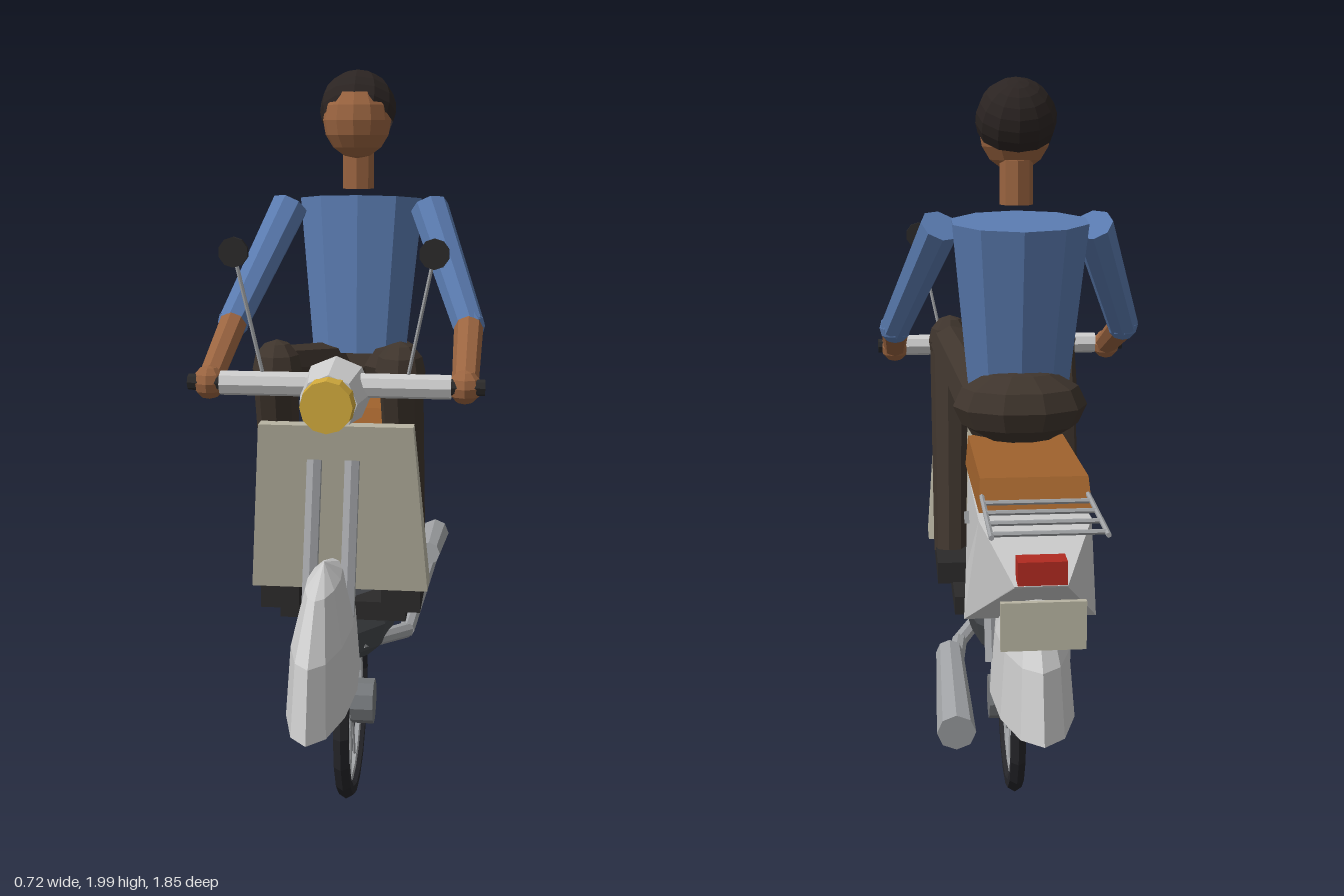
import * as THREE from 'three';

const mat = (color, side = THREE.FrontSide) =>
  new THREE.MeshStandardMaterial({ color, flatShading: true, side });
const M = {
  grey: mat(0xcccccc), shell: mat(0xcccccc, THREE.DoubleSide), beige: mat(0xb8b4a2),
  metal: mat(0xa0a2a5), hub: mat(0x74777a), engine: mat(0x45484c), tyre: mat(0x26262a),
  dark: mat(0x2b2a2a), seat: mat(0xa0622d), gold: mat(0xd0a93c), red: mat(0xb02a20),
  shirt: mat(0x5a7bb0), skin: mat(0x9a6440), trousers: mat(0x3f352d), hair: mat(0x2b2422),
};
const V = (x, y, z) => new THREE.Vector3(x, y, z);

export function createModel() {
  const root = new THREE.Group();

  const add = (name, geo, material, pos = [0, 0, 0], parent = root) => {
    const mesh = new THREE.Mesh(geo, material);
    mesh.name = name;
    mesh.position.set(...pos);
    parent.add(mesh);
    return mesh;
  };
  const box = (name, size, pos, m) => add(name, new THREE.BoxGeometry(...size), m, pos);
  const ball = (name, radii, pos, m, ws = 10, hs = 8) =>
    add(name, new THREE.SphereGeometry(1, ws, hs).scale(...radii), m, pos);

  // Tapered rod between two points
  const rod = (name, a, b, ra, rb, m, sides = 8, parent = root) => {
    const p = V(...a), q = V(...b), d = q.clone().sub(p);
    const mesh = add(name, new THREE.CylinderGeometry(rb, ra, d.length(), sides), m,
      p.clone().add(q).multiplyScalar(0.5).toArray(), parent);
    mesh.quaternion.setFromUnitVectors(V(0, 1, 0), d.normalize());
    return mesh;
  };

  // Solid through four-cornered sections, front to rear.
  // Section: [bottom half width, y, z, top half width, y, z]
  const loft = (name, sections, m) => {
    const rings = sections.map(([wb, yb, zb, wt, yt, zt]) =>
      [[-wb, yb, zb], [wb, yb, zb], [wt, yt, zt], [-wt, yt, zt]]);
    const out = [];
    const quad = (a, b, c, d) => out.push(...a, ...b, ...c, ...a, ...c, ...d);
    for (let i = 0; i < rings.length - 1; i++) {
      const A = rings[i], B = rings[i + 1];
      for (let k = 0; k < 4; k++) quad(A[k], B[k], B[(k + 1) % 4], A[(k + 1) % 4]);
    }
    quad(...rings[0]);
    quad(...rings[rings.length - 1].slice().reverse());
    const geo = new THREE.BufferGeometry();
    geo.setAttribute('position', new THREE.Float32BufferAttribute(out, 3));
    geo.computeVertexNormals();
    return add(name, geo, m);
  };

  // Spoked wheel
  const wheel = new THREE.Group();
  wheel.name = 'wheel';
  wheel.position.set(0, 0.28, 0.04);
  root.add(wheel);
  add('tyre', new THREE.TorusGeometry(0.247, 0.023, 6, 18).rotateY(Math.PI / 2), M.tyre, [0, 0, 0], wheel);
  add('rim', new THREE.TorusGeometry(0.224, 0.009, 5, 18).rotateY(Math.PI / 2), M.metal, [0, 0, 0], wheel);
  add('hub', new THREE.CylinderGeometry(0.063, 0.063, 0.13, 10).rotateZ(Math.PI / 2), M.hub, [0, 0, 0], wheel);
  for (let i = 0; i < 12; i++) {
    const a = (i + 0.3) / 12 * Math.PI * 2, c = Math.cos(a), s = Math.sin(a);
    rod('spoke', [0, s * 0.05, c * 0.05], [0, s * 0.225, c * 0.225], 0.004, 0.004, M.metal, 4, wheel);
  }

  // Domed mudguards, open underneath
  for (const [name, w, r, z] of [['frontMudguard', 0.078, 0.318, 0.603], ['rearMudguard', 0.1, 0.31, -0.538]]) {
    const dome = new THREE.SphereGeometry(1, 12, 3, 0, Math.PI * 2, 0, Math.PI / 2);
    add(name, dome.scale(w, 0.315, r), M.shell, [0, 0.555, z]);
  }

  // Bodywork, seat and leg shield
  loft('rearBody', [
    [0.13, 0.685, -0.02, 0.125, 0.98, -0.085],
    [0.16, 0.735, -0.515, 0.13, 1.015, -0.625],
    [0.06, 0.898, -0.758, 0.06, 0.902, -0.76]], M.grey);
  loft('seat', [
    [0.13, 1.0, -0.058, 0.125, 1.09, -0.105],
    [0.13, 1.037, -0.635, 0.125, 1.108, -0.598]], M.seat);
  loft('legShield', [
    [0.225, 0.705, 0.315, 0.19, 1.145, 0.39],
    [0.225, 0.705, 0.21, 0.19, 1.145, 0.345]], M.beige);
  rod('frameSpine', [0, 0.68, -0.1], [0, 0.91, 0.2], 0.05, 0.045, M.grey);
  box('footboard', [0.33, 0.05, 0.36], [0, 0.62, 0.06], M.dark);
  ball('engine', [0.13, 0.135, 0.23], [0, 0.56, 0.035], M.engine, 10, 6);

  // Exhaust on the left
  const pipe = [[0.04, 0.515, 0.2], [0.15, 0.475, -0.015], [0.19, 0.54, -0.48]];
  rod('exhaustPipe', pipe[0], pipe[1], 0.02, 0.022, M.metal);
  rod('exhaustPipe', pipe[1], pipe[2], 0.022, 0.022, M.metal);
  rod('muffler', [0.19, 0.59, -0.365], [0.19, 0.545, -0.735], 0.034, 0.045, M.metal);

  // Luggage rack, tail light and plate
  for (const x of [-0.122, 0.122])
    rod('rackRail', [x, 1.07, -0.6], [x, 1.07, -0.925], 0.006, 0.006, M.metal, 6);
  for (let i = 0; i < 4; i++) {
    const z = -0.67 - i * 0.077;
    rod('rackBar', [-0.122, 1.07, z], [0.122, 1.07, z], 0.006, 0.006, M.metal, 6);
  }
  box('tailLight', [0.11, 0.054, 0.055], [0, 0.941, -0.762], M.red);
  box('plate', [0.19, 0.112, 0.014], [0, 0.828, -0.807], M.beige);

  // Steering head and headlight
  rod('handlebar', [-0.28, 1.247, 0.39], [0.28, 1.247, 0.39], 0.03, 0.03, M.grey);
  rod('headlightHousing', [0, 1.225, 0.36], [0, 1.225, 0.515], 0.088, 0.068, M.grey);
  rod('headlight', [0, 1.225, 0.51], [0, 1.225, 0.56], 0.065, 0.062, M.gold, 12);

  // Rider's trunk and head
  ball('hips', [0.17, 0.096, 0.125], [0, 1.2, -0.245], M.trousers, 10, 6);
  const torso = rod('torso', [0, 1.235, -0.175], [0, 1.657, -0.23], 0.133, 0.175, M.shirt, 10);
  torso.scale.z = 0.72;
  rod('neck', [0, 1.69, -0.13], [0, 1.8, -0.13], 0.042, 0.042, M.skin);
  ball('head', [0.091, 0.1, 0.095], [0, 1.87, -0.097], M.skin, 12, 8);
  const hair = add('hair', new THREE.SphereGeometry(0.102, 12, 7, 0, Math.PI * 2, 0, Math.PI * 0.62),
    mat(0x2b2422, THREE.DoubleSide), [0, 1.898, -0.122]);
  hair.rotation.x = -0.5;

  // Paired parts
  for (const s of [-1, 1]) {
    rod('fork', [s * 0.046, 0.555, 0.592], [s * 0.046, 1.068, 0.425], 0.02, 0.02, M.metal, 6);
    rod('rearShock', [s * 0.09, 0.6, -0.46], [s * 0.09, 0.74, -0.41], 0.018, 0.018, M.metal, 6);
    box('panelCatch', [0.012, 0.03, 0.008], [s * 0.143, 0.94, -0.35], M.metal).rotation.x = 0.3;
    rod('grip', [s * 0.26, 1.247, 0.39], [s * 0.36, 1.247, 0.385], 0.02, 0.02, M.dark);
    rod('mirrorStem', [s * 0.175, 1.265, 0.388], [s * 0.234, 1.55, 0.413], 0.005, 0.005, M.metal, 6);
    rod('mirror', [s * 0.237, 1.565, 0.409], [s * 0.237, 1.565, 0.423], 0.036, 0.036, M.dark, 10);

    // Leg
    const knee = [s * 0.152, 1.27, 0.32];
    rod('thigh', [s * 0.075, 1.18, -0.23], knee, 0.075, 0.058, M.trousers);
    ball('knee', [0.062, 0.075, 0.07], knee, M.trousers, 8, 6);
    rod('shin', [s * 0.155, 1.26, 0.33], [s * 0.165, 0.69, 0.15], 0.055, 0.046, M.trousers);
    box('shoe', [0.1, 0.06, 0.3], [s * 0.156, 0.672, 0.15], M.dark);

    // Arm
    const elbow = [s * 0.31, 1.35, 0.07], hand = [s * 0.312, 1.245, 0.375];
    rod('upperArm', [s * 0.192, 1.64, -0.15], elbow, 0.052, 0.042, M.shirt);
    ball('elbow', [0.042, 0.042, 0.042], elbow, M.shirt, 8, 6);
    rod('forearm', elbow, hand, 0.038, 0.032, M.skin);
    ball('hand', [0.04, 0.042, 0.042], hand, M.skin, 8, 6);
  }
  return root;
}
